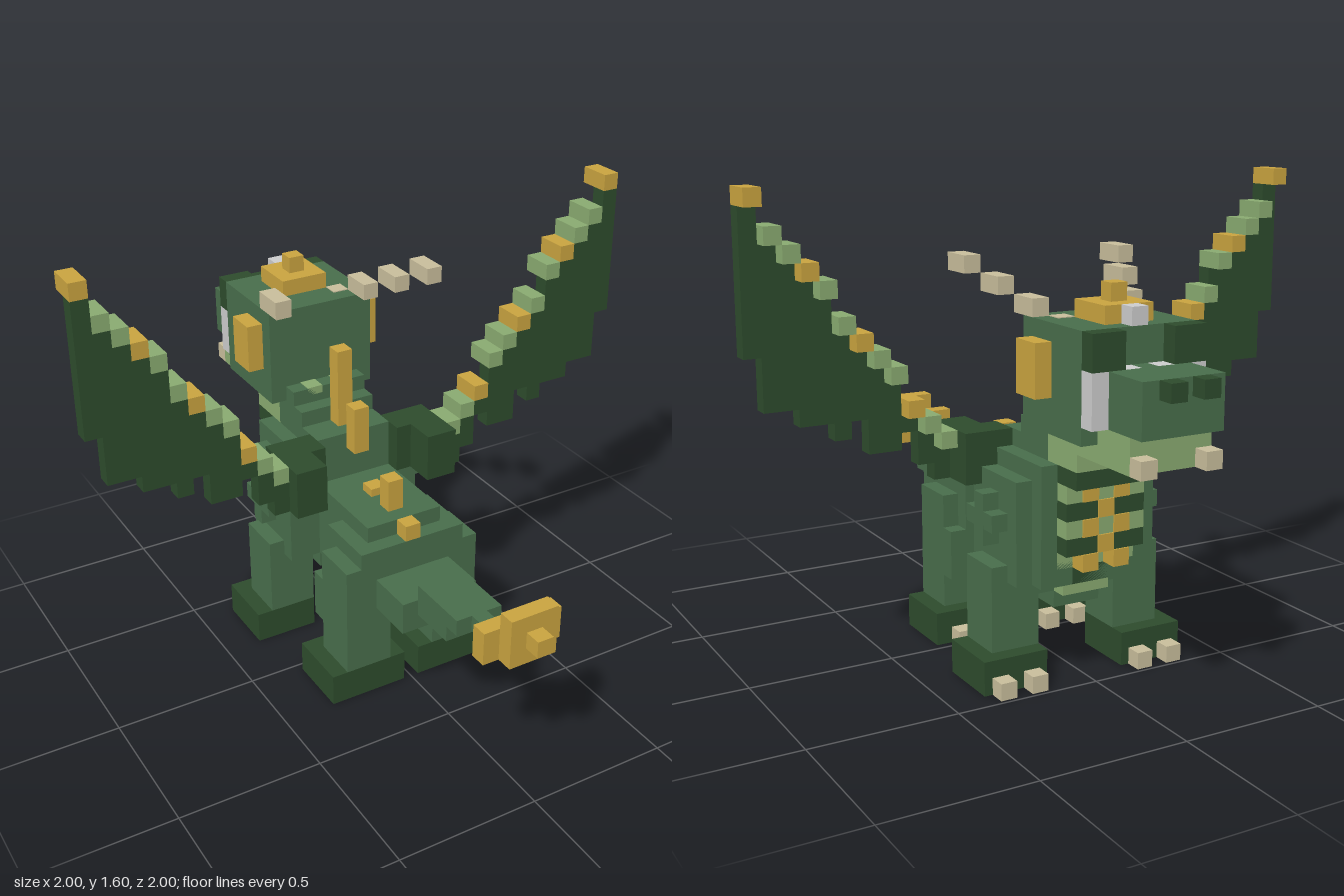
import * as THREE from 'three';

const U = 2 / 35; // one block

function material(name, color) {
  const m = new THREE.MeshStandardMaterial({ color });
  m.name = name;
  return m;
}

export function createModel() {
  const green = material('scale green', 0x486d4b);
  const dark = material('dark green', 0x2d4b2c);
  const light = material('belly green', 0x89aa70);
  const gold = material('gold', 0xc9a33f);
  const bone = material('bone', 0xc8bd9b);
  const white = material('eye white', 0xcccccc);

  const root = new THREE.Group();
  root.name = 'blockDragon';
  let group = root;
  const part = (name) => {
    group = new THREE.Group();
    group.name = name;
    root.add(group);
  };
  // Box from its bounds in blocks
  const box = (name, mat, x0, x1, y0, y1, z0, z1) => {
    const g = new THREE.BoxGeometry((x1 - x0) * U, (y1 - y0) * U, (z1 - z0) * U);
    const m = new THREE.Mesh(g, mat);
    m.name = name;
    m.position.set((x0 + x1) / 2 * U, (y0 + y1) / 2 * U, (z0 + z1) / 2 * U);
    group.add(m);
  };
  const mid = (name, mat, w, ...r) => box(name, mat, -w, w, ...r);
  const pair = (name, mat, x0, x1, ...r) => {
    box(name, mat, x0, x1, ...r);
    box(name, mat, -x1, -x0, ...r);
  };

  part('body');
  mid('chest', green, 4.5, 6, 12, -7.5, -2.5);
  mid('chestFront', green, 3.5, 6, 12, -8.5, -7.5);
  mid('waist', green, 2.5, 6, 11, -2.5, 0.5);
  mid('hips', green, 3.5, 6, 10, 0.5, 4.5);
  mid('hipRidge', green, 2.5, 10, 11, 0.5, 3.5);
  mid('underChest', green, 2.5, 5, 6, -6.5, -2.5);
  mid('underChestLow', green, 1.5, 4, 5, -6.5, -3.5);
  mid('upperBack', green, 3.5, 12, 13, -8.5, -2.5);
  mid('neckBase', green, 2.5, 13, 14, -7.5, -2.5);
  mid('neckMiddle', green, 2.5, 14, 15, -7.5, -4.5);
  mid('neckTop', green, 2.5, 15, 15.95, -7, -5.5);
  pair('neckSpot', light, 0.5, 1.5, 15.5, 16, -6.5, -5.5);
  // Cross-shaped shoulder scales
  pair('shoulderScale', green, 4.5, 5.5, 8, 11, -5.5, -4.5);
  pair('shoulderScaleBar', green, 4.5, 5.48, 9, 10, -6.5, -3.5);

  // Banded chest armour: bottom row, material, half width, front z
  part('chestPlates');
  [[5, light, 1.5, -7.5], [6, dark, 1.5, -8.5], [7, light, 2.5, -8.5], [8, dark, 2.5, -9.5],
    [9, light, 2.5, -9.5], [10, dark, 2.5, -9.5], [11, light, 2.5, -9.5], [12, dark, 2.5, -10.5]]
    .forEach(([y, mat, w, z]) => mid('chestBand', mat, w, y, y + 1, z, z + 2));
  [7, 9, 11].forEach((y) => pair('goldScale', gold, 0.5, 1.5, y, y + 1, -9.6, -8.5));
  mid('goldScale', gold, 0.5, 8, 9, -9.6, -9);
  mid('goldScale', gold, 0.5, 10, 11, -9.6, -9);

  part('tail');
  mid('tailBase', green, 2.5, 6, 8, 4.5, 7.5);
  mid('tailMiddle', green, 1.5, 7, 9, 7.5, 10.5);
  mid('tailThin', green, 1.5, 8, 9, 10.5, 11.5);
  mid('tailEnd', green, 0.5, 8, 9, 11.5, 13.5);
  mid('tailHook', green, 0.5, 9, 10, 13.5, 14.5);
  mid('tailBlade', gold, 2.5, 9, 11, 14.5, 15.5);
  mid('tailBladeTop', gold, 1.5, 9, 12, 15.5, 16.5);
  mid('tailPoint', gold, 0.5, 10, 11, 16.5, 17.5);

  // Back spines: z start, bottom, top
  part('spines');
  [[-4.5, 14, 19], [-2.5, 13, 16], [-0.5, 10, 11.5], [1.5, 11, 13], [3.5, 10, 11]]
    .forEach(([z, y0, y1]) => mid('spine', gold, 0.5, y0, y1, z, z + 1));

  part('legs');
  pair('frontLeg', green, 2.5, 5.5, 2, 7, -6.5, -3.5);
  pair('frontFoot', dark, 2.5, 6.5, 0, 2, -7.5, -3.5);
  pair('hindLeg', green, 1.5, 4.5, 2, 9, 1.5, 4.5);
  pair('hindThigh', green, 1.5, 4.5, 4, 7, 0.5, 1.5);
  pair('hindFoot', dark, 0.5, 5.5, 0, 2, 0.5, 4.5);
  [3, 5].forEach((x) => pair('frontClaw', bone, x, x + 1, 0, 1, -8.5, -7.5));
  [1.5, 3.5].forEach((x) => pair('hindClaw', bone, x, x + 1, 0, 1, -0.5, 0.5));

  part('head');
  mid('skull', green, 3.5, 15, 21, -12.5, -6.5);
  pair('eye', white, 0.5, 3.5, 16, 19, -13.5, -12.5);
  pair('brow', dark, 1.5, 3.5, 19, 21, -13.5, -12.5);
  mid('snout', green, 2.5, 16, 19, -16.5, -13.5);
  mid('snoutBridge', green, 0.5, 16, 19, -13.5, -12.5);
  pair('nostril', dark, 0.5, 1.5, 18, 19, -17.5, -16.5);
  mid('jaw', light, 2.5, 14, 16, -15.5, -12.5);
  mid('jawBack', light, 2.5, 14, 15, -12.5, -7.5);
  mid('throat', light, 2.5, 13, 14, -10.5, -7.5);
  pair('tooth', bone, 1.5, 2.5, 14, 15, -16.5, -15.5);
  pair('cheekPlate', gold, 3.5, 4.5, 17, 20, -9.5, -7.5);
  mid('crown', gold, 1.5, 21, 22, -11.5, -8.5);
  mid('crownTop', gold, 0.5, 22, 23, -10.5, -9.5);
  mid('foreheadGem', white, 0.5, 21, 22, -12.5, -11.5);
  // Horns sweep back and outwards
  pair('hornRoot', bone, 1.5, 2.5, 20, 21.05, -8.5, -7.5);
  for (let i = 0; i < 3; i++) {
    pair('horn', bone, 2.5 + i, 3.5 + i, 21 + i, 22 + i, -7.5 + 2 * i, -5.5 + 2 * i);
  }

  // Wings: columns from the tip inwards
  part('wings');
  const edge = [27, 25, 24, 23, 22, 20, 19, 18, 17, 15, 14, 13];
  const hem = [19, 16, 16, 15, 15, 14, 15, 13, 13, 14, 12, 11];
  edge.forEach((y, i) => {
    const x = 16.5 - i;
    pair('wingEdge', i % 3 ? light : gold, x, x + 1, y, y + 1, -2.5, -0.5);
    pair('wingMembrane', dark, x, x + 1, hem[i], y, -1.5, -0.5);
  });
  pair('wingRoot', dark, 3.5, 5.5, 11, 14, -3.5, 0.5);
  pair('wingJoint', dark, 2.5, 3.5, 11, 14, -3.5, -1.5);

  return root;
}
